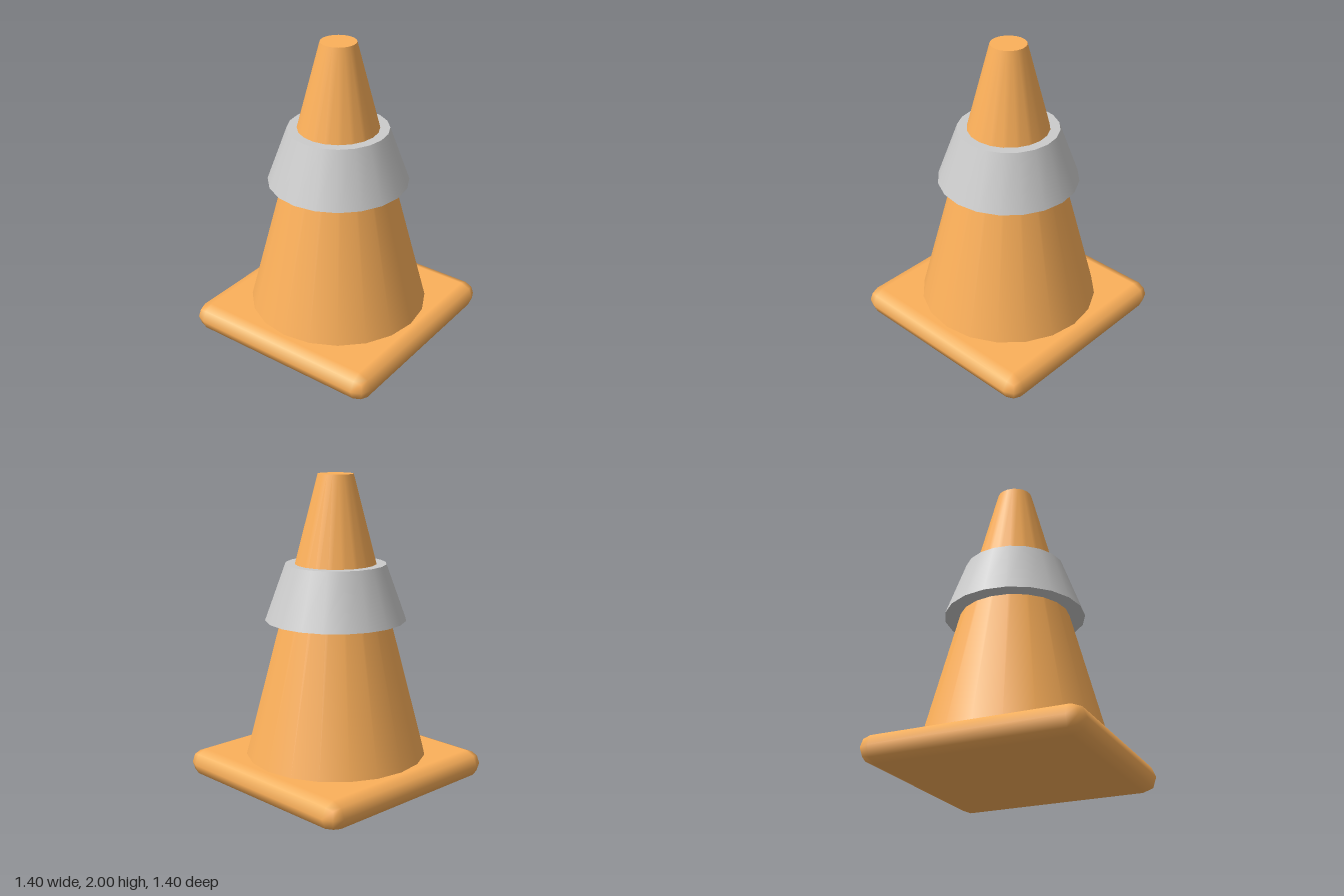
import * as THREE from 'three';
import { RoundedBoxGeometry } from 'three/addons/geometries/RoundedBoxGeometry.js';

const SIDES = 20;

export function createModel() {
  const model = new THREE.Group();
  const orange = new THREE.MeshStandardMaterial({ color: 0xfcb05a });
  const grey = new THREE.MeshStandardMaterial({ color: 0xcccccc });

  function add(name, geometry, material, y) {
    const mesh = new THREE.Mesh(geometry, material);
    mesh.name = name;
    mesh.position.y = y;
    model.add(mesh);
  }

  // Capped, tapered section standing between two heights
  function addTaper(name, material, rBottom, rTop, y0, y1) {
    add(name, new THREE.CylinderGeometry(rTop, rBottom, y1 - y0, SIDES), material, (y0 + y1) / 2);
  }

  // Square foot with coarsely rounded edges
  add('base', new RoundedBoxGeometry(1.405, 0.184, 1.405, 1, 0.0919), orange, 0.092);

  // Tapered body, flat on top
  addTaper('cone', orange, 0.59, 0.114, 0.18, 2);

  // Wide collar round the upper body
  addTaper('band', grey, 0.456, 0.325, 1.075, 1.435);

  return model;
}
